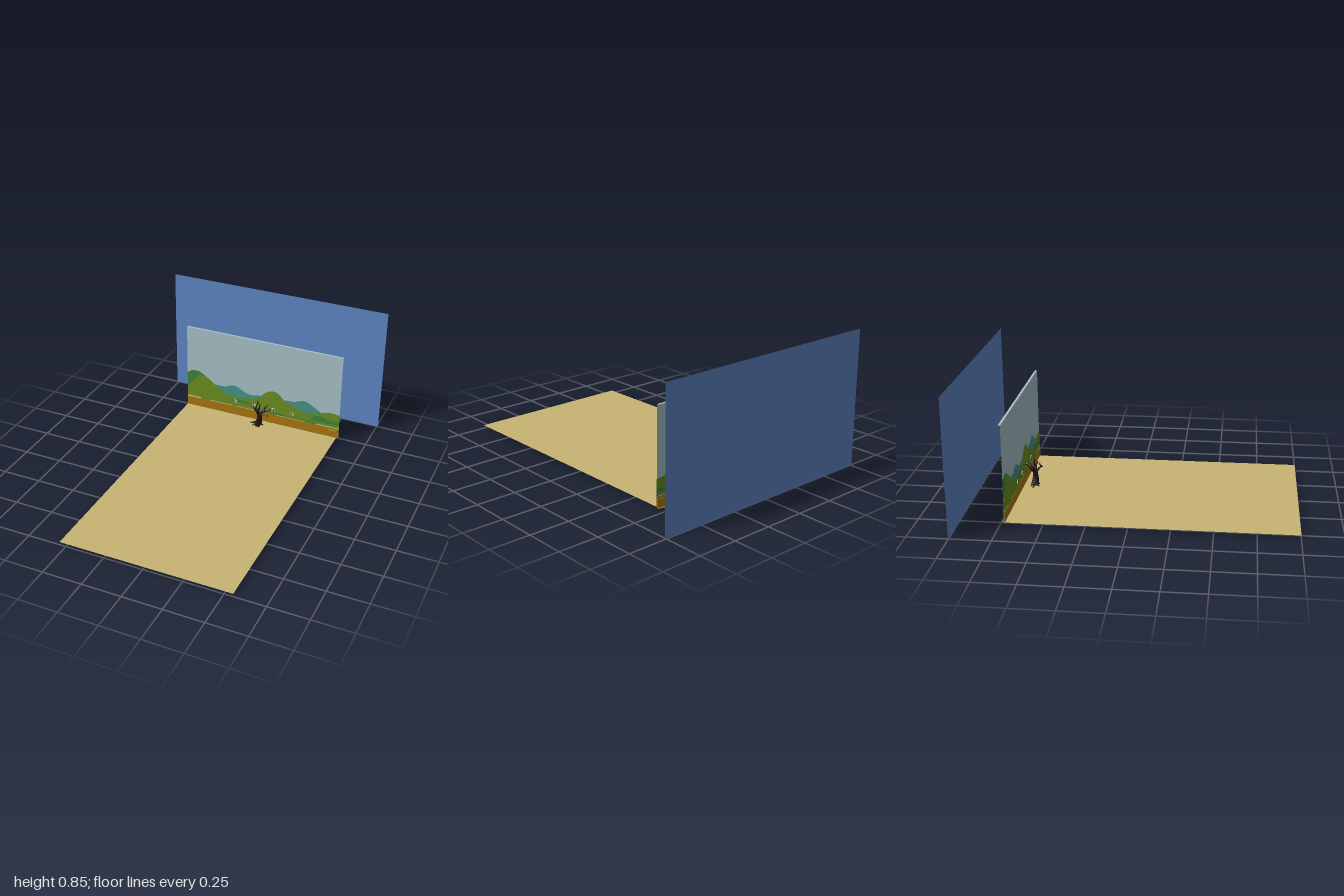
import * as THREE from 'three';

const mat = (name, color) => {
  const m = new THREE.MeshStandardMaterial({ color, side: THREE.DoubleSide });
  m.name = name;
  return m;
};

export function createModel() {
  const root = new THREE.Group();
  root.name = 'stageDiorama';
  const blue = mat('backBlue', 0x5f87c6), sand = mat('sand', 0xc8b474), sky = mat('paleSky', 0xa9c3c8);
  const teal = mat('hillTeal', 0x479488), dark = mat('hillDarkGreen', 0x3c8540), green = mat('hillGreen', 0x6b8e20);
  const earth = mat('earthBrown', 0xa9770f), pale = mat('paleGrass', 0xc6c374);
  const bark = mat('bark', 0x261817), white = mat('signWhite', 0xdfe8ea);

  const add = (name, geo, material, parent = root) => {
    const m = new THREE.Mesh(geo, material);
    m.name = name;
    parent.add(m);
    return m;
  };
  const plane = (name, material, w, h, x, y, z, flat = false, parent = root) => {
    const m = add(name, new THREE.PlaneGeometry(w, h), material, parent);
    if (flat) m.rotation.x = -Math.PI / 2;
    m.position.set(x, y, z);
    return m;
  };

  // Large rear wall and long floor
  plane('rearWall', blue, 1.52, 0.85, 0, 0.425, -1);
  plane('floor', sand, 1.095, 1.725, 0.007, 0.02, 0.1375, true);

  // Scenery panel with thin top and bottom ledges
  const L = -0.54, R = 0.567, W = R - L, C = (L + R) / 2, Z = -0.722;
  const scenery = new THREE.Group();
  scenery.name = 'sceneryPanel';
  root.add(scenery);
  plane('skyPanel', sky, W, 0.6, C, 0.32, Z, false, scenery);
  plane('topLedge', sky, W, 0.014, C, 0.62, Z - 0.007, true, scenery);
  plane('bottomLedge', earth, W, 0.014, C, 0.021, Z - 0.007, true, scenery);

  // Painted layers: a smooth skyline above a straight base, shown on both faces
  const hills = (name, material, layer, base, pts) => {
    const line = new THREE.SplineCurve(pts.map(p => new THREE.Vector2(...p))).getPoints(pts.length * 6);
    const shape = new THREE.Shape([new THREE.Vector2(pts[0][0], base), ...line,
      new THREE.Vector2(pts[pts.length - 1][0], base)]);
    for (const s of [1, -1]) {
      add(name, new THREE.ShapeGeometry(shape), material, scenery).position.z = Z + s * layer * 0.001;
    }
  };
  hills('farLeftHill', dark, 1, 0.1, [[L, 0.268], [-0.51, 0.291], [-0.47, 0.298], [-0.43, 0.285], [-0.39, 0.25], [-0.33, 0.16]]);
  hills('leftMountain', teal, 1, 0.1, [[-0.37, 0.2], [-0.33, 0.219], [-0.26, 0.222], [-0.2, 0.244], [-0.16, 0.237],
    [-0.11, 0.21], [-0.06, 0.2], [0, 0.21], [0.06, 0.2]]);
  hills('rightMountain', teal, 1, 0.1, [[0.1, 0.2], [0.18, 0.217], [0.25, 0.224], [0.31, 0.245], [0.35, 0.236],
    [0.42, 0.195], [0.48, 0.165], [R, 0.15]]);
  hills('frontHills', green, 2, 0.08, [[L, 0.16], [-0.5, 0.215], [-0.455, 0.262], [-0.41, 0.27], [-0.37, 0.248], [-0.33, 0.215],
    [-0.28, 0.18], [-0.2, 0.158], [-0.13, 0.16], [-0.06, 0.175], [-0.01, 0.19], [0.04, 0.243], [0.09, 0.266], [0.135, 0.255],
    [0.18, 0.212], [0.25, 0.185], [0.32, 0.158], [0.38, 0.16], [0.43, 0.18], [0.5, 0.199], [R, 0.193]]);
  hills('leftGrove', dark, 3, 0.125, [[-0.22, 0.125], [-0.18, 0.14], [-0.13, 0.145], [-0.08, 0.135], [-0.05, 0.125]]);
  hills('rightGrove', dark, 3, 0.113, [[0.36, 0.113], [0.4, 0.152], [0.45, 0.155], [0.5, 0.137], [R, 0.14]]);
  hills('lowGrass', dark, 3, 0.09, [[0.05, 0.092], [0.13, 0.104], [0.22, 0.099], [0.32, 0.103], [0.44, 0.094]]);
  hills('ground', earth, 4, 0.02, [[L, 0.087], [-0.2, 0.088], [0.1, 0.087], [R, 0.088]]);
  for (const [x0, x1, y, h] of [[L, -0.44, 0.09, 0.012], [-0.37, -0.2, 0.089, 0.006], [-0.17, 0.02, 0.09, 0.005],
    [0.12, 0.33, 0.09, 0.005], [0.41, R, 0.093, 0.008], [0.5, 0.55, 0.073, 0.005]]) {
    hills('grassStrip', pale, 5, y - h / 2, [[x0, y + h / 2], [x1, y + h / 2]]);
  }

  // Four small windows in front of the hills
  for (let i = 0; i < 4; i++) {
    const win = new THREE.Group();
    win.name = 'smallWindow';
    win.position.set(-0.175 + i * 0.138, 0.13, -0.714);
    root.add(win);
    add('windowPlate', new THREE.BoxGeometry(0.02, 0.018, 0.004), white, win);
    for (const x of [-0.0045, 0.0045]) for (const y of [-0.004, 0.004]) {
      add('windowPane', new THREE.BoxGeometry(0.005, 0.0045, 0.006), bark, win).position.set(x, y, 0);
    }
  }

  // Bare tree made of tapered limbs
  const tree = new THREE.Group();
  tree.name = 'bareTree';
  root.add(tree);
  const limb = (name, r0, r1, pts) => {
    const curve = new THREE.CatmullRomCurve3(pts.map(p => new THREE.Vector3(...p)));
    const n = 10, sides = 6, geo = new THREE.TubeGeometry(curve, n, 1, sides);
    const pos = geo.attributes.position, v = new THREE.Vector3();
    for (let i = 0; i < pos.count; i++) {
      const t = Math.floor(i / (sides + 1)) / n, c = curve.getPointAt(t);
      v.fromBufferAttribute(pos, i).sub(c).multiplyScalar(r0 + (r1 - r0) * t).add(c);
      pos.setXYZ(i, v.x, v.y, v.z);
    }
    geo.computeVertexNormals();
    add(name, geo, bark, tree);
  };
  limb('trunk', 0.025, 0.013, [[0.015, 0.028, -0.645], [0.027, 0.06, -0.645], [0.032, 0.085, -0.643], [0.026, 0.125, -0.645]]);
  for (const [x, z] of [[-0.038, -0.65], [-0.01, -0.67], [0.058, -0.65], [0.035, -0.62], [-0.01, -0.615], [0.04, -0.675]]) {
    limb('root', 0.011, 0.003, [[0.02, 0.06, -0.645], [0.02 + (x - 0.02) * 0.4, 0.042, -0.645 + (z + 0.645) * 0.4], [x, 0.032, z]]);
  }
  const branches = [
    [[0.028, 0.11, -0.645], [0.02, 0.14, -0.65], [0.028, 0.165, -0.648], [0.022, 0.193, -0.652]],
    [[0.028, 0.11, -0.645], [0.005, 0.13, -0.65], [-0.012, 0.148, -0.648], [-0.037, 0.162, -0.65]],
    [[0.01, 0.125, -0.65], [-0.005, 0.15, -0.668], [-0.002, 0.165, -0.685], [-0.012, 0.18, -0.702]],
    [[0.028, 0.115, -0.645], [0.05, 0.13, -0.66], [0.07, 0.13, -0.675], [0.102, 0.143, -0.69]],
    [[0.028, 0.115, -0.645], [0.055, 0.145, -0.643], [0.07, 0.15, -0.645], [0.105, 0.158, -0.638]],
    [[0.03, 0.11, -0.643], [0.05, 0.125, -0.63], [0.075, 0.13, -0.622], [0.102, 0.122, -0.61]],
    [[0.026, 0.115, -0.643], [0.02, 0.135, -0.625], [0.028, 0.15, -0.612], [0.015, 0.165, -0.6]],
    [[0.045, 0.135, -0.645], [0.06, 0.155, -0.655], [0.065, 0.17, -0.657], [0.083, 0.186, -0.66]],
  ];
  branches.forEach(p => {
    limb('branch', 0.009, 0.002, p);
    // Twig forking off halfway along the branch
    const [, , b, c] = p;
    limb('twig', 0.004, 0.0015, [b, [(b[0] + c[0]) / 2 + 0.006, (b[1] + c[1]) / 2 + 0.003, (b[2] + c[2]) / 2 - 0.004],
      [b[0] + (c[0] - b[0]) * 0.5 + 0.008, b[1] + 0.02, b[2] - 0.01]]);
  });
  return root;
}
